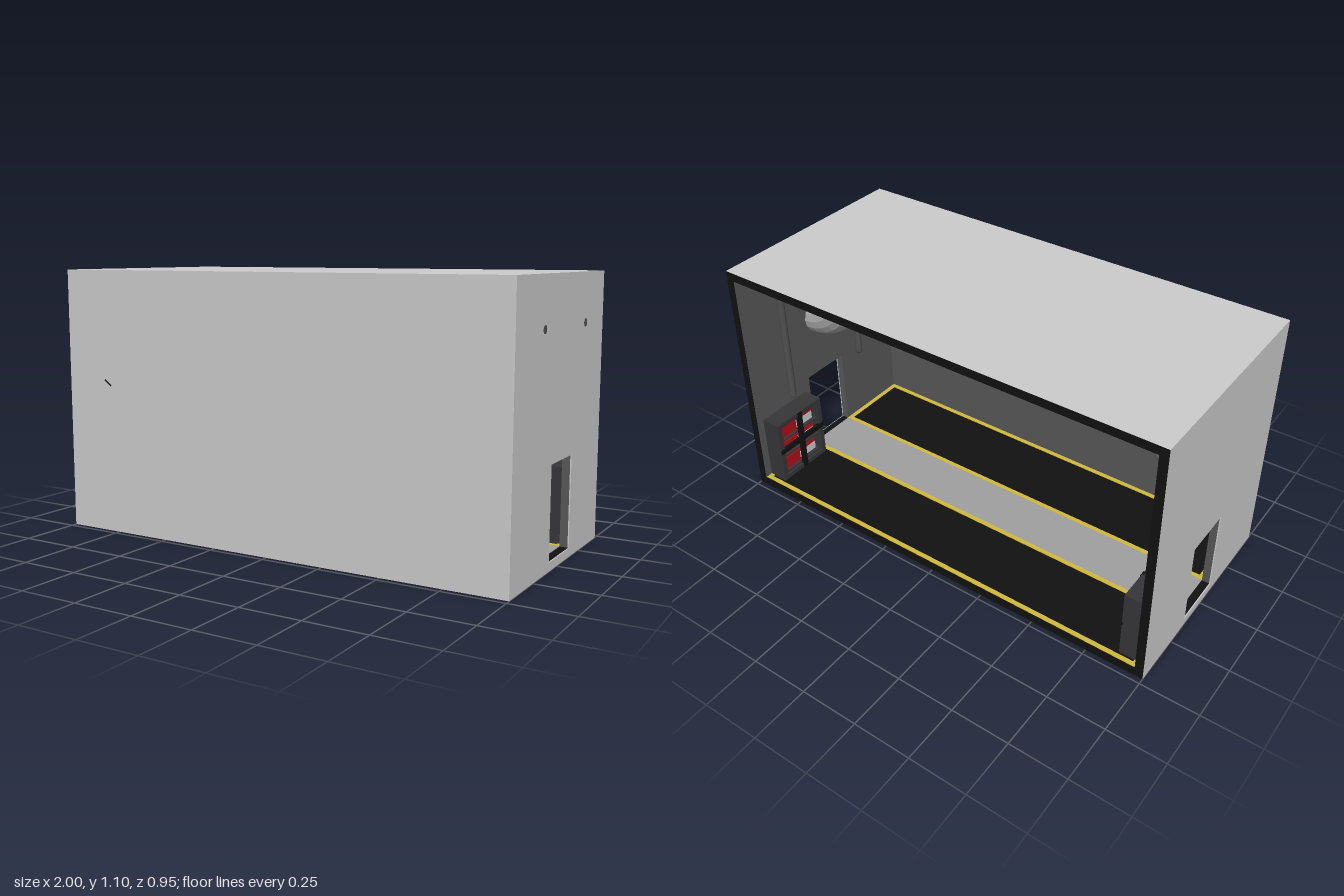
import * as THREE from 'three';

const mat = (color, extra = {}) => new THREE.MeshStandardMaterial({ color, ...extra });
const M = {
  shell: mat(0xc4c8c4), lining: mat(0x585858), black: mat(0x111111), panel: mat(0x363638),
  walkway: mat(0xa0a0a0), yellow: mat(0xd2b83c), pipe: mat(0x505050),
  duct: mat(0xa8a8a8, { flatShading: true }), red: mat(0xb01018), white: mat(0xdddddd),
  wood: mat(0x6b3d1c), tool: mat(0x4a4a4a),
};

const W = 1, H = 1.1, D = 0.475;    // half width, height, half depth
const S = 0.005, T = 0.037;         // outer skin and full wall thickness
const DOOR = [-0.14, 0.085, 0.035, 0.405];

function add(parent, name, geometry, material) {
  const mesh = new THREE.Mesh(geometry, material);
  mesh.name = name;
  parent.add(mesh);
  return mesh;
}

// Box given by its limits on each axis
function box(parent, name, material, x0, x1, y0, y1, z0, z1) {
  const g = new THREE.BoxGeometry(Math.abs(x1 - x0), y1 - y0, z1 - z0);
  g.translate((x0 + x1) / 2, (y0 + y1) / 2, (z0 + z1) / 2);
  return add(parent, name, g, material);
}

// Rectangle with rectangular holes, each given as [u0, u1, v0, v1]
function plate(outer, holes) {
  const trace = (p, [a, b, c, d]) => p.moveTo(a, c).lineTo(b, c).lineTo(b, d).lineTo(a, d).closePath();
  const shape = trace(new THREE.Shape(), outer);
  shape.holes = holes.map((h) => trace(new THREE.Path(), h));
  return shape;
}
const extrude = (shape, depth) => new THREE.ExtrudeGeometry(shape, { depth, bevelEnabled: false });

function tube(parent, name, material, curve, radius, sides, steps) {
  return add(parent, name, new THREE.TubeGeometry(curve, steps, radius, sides), material);
}

function buildShell(root) {
  const g = new THREE.Group();
  g.name = 'shell';
  root.add(g);
  box(g, 'roof', M.shell, -W, W, H - S, H, -D, D);
  box(g, 'underside', M.shell, -W, W, 0, S, -D, D);
  box(g, 'frontWall', M.shell, -W, W, 0, H, D - S, D);
  box(g, 'ceiling', M.lining, -W + S, W - S, H - T, H - S, -D, D - S);
  box(g, 'floor', M.black, -W + S, W - S, S, T, -D, D - S);
  box(g, 'frontLining', M.lining, -W + S, W - S, S, H - S, D - T, D - S);

  // End walls with doorways
  for (const s of [-1, 1]) {
    const skin = extrude(plate([-D, D, 0, H], [DOOR]), S);
    const lining = extrude(plate([-D, D - S, S, H - S], [DOOR]), T - S);
    for (const geo of [skin, lining]) geo.rotateY(-Math.PI / 2);
    skin.translate(s > 0 ? W : -W + S, 0, 0);
    lining.translate(s > 0 ? W - S : -W + T, 0, 0);
    add(g, 'endWall', skin, M.shell);
    add(g, 'endLining', lining, M.lining);
  }

  // Dark cut edge round the open back
  const rim = new THREE.ShapeGeometry(plate([-W, W, 0, H], [[-W + T, W - T, T, H - T]]));
  rim.rotateY(Math.PI).translate(0, 0, -D - 0.0008);
  add(g, 'openingRim', rim, M.black);
}

function buildFloorMarkings(root) {
  const g = new THREE.Group();
  g.name = 'floorMarkings';
  root.add(g);
  const X = W - T, y = T + 0.002, line = 0.02;
  box(g, 'walkway', M.walkway, -X, X, T - 0.002, y, DOOR[0], DOOR[1]);
  for (const [z0, z1] of [[-D + 0.004, DOOR[0]], [DOOR[1], D - T]]) {
    const border = extrude(plate([-X, X, -z1, -z0],
      [[-X + line, X - line, -z1 + line, -z0 - line]]), 0.003);
    border.rotateX(-Math.PI / 2).translate(0, T, 0);
    add(g, 'yellowBorder', border, M.yellow);
  }
}

function buildWallRack(root) {
  const g = new THREE.Group();
  g.name = 'wallRack';
  root.add(g);
  const X = W - T, zf = 0.4, zb = D - T, y0 = 0.5, y1 = 1.025, half = 0.11;
  const centres = [-3, -2, -1, 0, 1, 2, 3].map((k) => k * 0.256);
  const front = extrude(plate([-X, X, 0.43, H - T],
    centres.map((c) => [c - half, c + half, y0, y1])), zb - zf);
  front.translate(0, 0, zf);
  add(g, 'rackPanel', front, M.panel);

  centres.forEach((c, i) => {
    box(g, 'nicheBack', M.black, c - half, c + half, y0, y1, zb - 0.003, zb + 0.001);
    // Bars across the niche
    box(g, 'centreBar', M.black, c - 0.014, c + 0.014, y0, y1, zf - 0.004, zf + 0.01);
    for (const y of [y0 + 0.06, y1 - 0.06])
      box(g, 'crossBar', M.black, c - half, c + half, y - 0.014, y + 0.014, zf - 0.002, zf + 0.01);
    // Stored tools
    for (const s of [-1, 1]) {
      const x = c + s * 0.055;
      box(g, 'toolShaft', M.tool, x - 0.008, x + 0.008, 0.6, 0.93, 0.418, 0.432);
      box(g, 'toolHandle', i % 3 ? M.tool : M.wood, x - 0.016, x + 0.016, 0.53, 0.66, 0.416, 0.434);
    }
  });

  // Small strap end showing through the front wall
  const strap = box(g, 'strapEnd', M.black, -0.02, 0.02, -0.003, 0.003, 0.43, D + 0.002);
  strap.position.set(-0.79, 0.633, 0);
  strap.rotation.z = -0.62;
}

function buildEndFittings(root, s) {
  const g = new THREE.Group();
  g.name = s > 0 ? 'leftEndFittings' : 'rightEndFittings';
  root.add(g);
  const v = (x, y, z) => new THREE.Vector3(s * x, y, z);

  // Air duct bending from the ceiling into the end wall
  const zc = -0.03, duct = new THREE.CurvePath();
  duct.add(new THREE.LineCurve3(v(0.78, 1.07, zc), v(0.78, 0.89, zc)));
  duct.add(new THREE.CubicBezierCurve3(v(0.78, 0.89, zc), v(0.78, 0.785, zc), v(0.865, 0.7, zc), v(0.97, 0.7, zc)));
  tube(g, 'airDuct', M.duct, duct, 0.088, 16, 12);

  // Upright pipes with rounded ends
  for (const z of [0.195, -0.255]) {
    const pipe = add(g, 'wallPipe', new THREE.CapsuleGeometry(0.016, 0.515, 6, 12), M.pipe);
    pipe.position.set(s * 0.953, 0.64, z);
    if (s > 0) {
      const stub = new THREE.CylinderGeometry(0.016, 0.016, 0.05, 16).rotateZ(Math.PI / 2);
      add(g, 'pipeStub', stub, M.pipe).position.set(0.9765, 0.905, z);
    }
  }

  // Supply cabinet with an open, barred face
  const xb = s * (W - T), xf = s * 0.875, y0 = T, y1 = 0.345, z0 = -0.44, z1 = -0.17, t = 0.022;
  const frame = extrude(plate([z0, z1, y0, y1], [[z0 + t, z1 - t, y0 + t, y1 - t]]), 0.088);
  frame.rotateY(-Math.PI / 2).translate(s > 0 ? W - T : -0.875, 0, 0);
  add(g, 'cabinetFrame', frame, M.panel);
  box(g, 'cabinetBack', M.panel, xb, xb - s * 0.012, y0 + t, y1 - t, z0 + t, z1 - t);
  const zm = (z0 + z1) / 2, rows = 3, step = (y1 - y0 - 2 * t) / rows;
  box(g, 'cabinetPost', M.black, xf - s * 0.003, xf + s * 0.01, y0, y1, zm - 0.013, zm + 0.013);
  box(g, 'cabinetCrossBar', M.black, xf - s * 0.003, xf + s * 0.01, 0.185, 0.21, z0, z1);
  for (let r = 0; r < rows; r++) {
    const y = y0 + t + r * step;
    box(g, 'cabinetShelf', M.panel, xb, xf + s * 0.012, y, y + 0.008, z0 + t, z1 - t);
    box(g, 'redCase', M.red, xb - s * 0.01, xf + s * 0.025, y + 0.008, y + step * 0.8, z0 + 0.03, zm - 0.005);
    box(g, 'whiteCase', M.white, xb - s * 0.01, xf + s * 0.03, y + 0.008, y + step * 0.55, zm + 0.005, z1 - 0.035);
    box(g, 'caseLid', M.red, xb - s * 0.01, xf + s * 0.03, y + step * 0.55, y + step * 0.75, zm + 0.005, z1 - 0.035);
  }
}

export function createModel() {
  const root = new THREE.Group();
  root.name = 'equipmentRoom';
  buildShell(root);
  buildFloorMarkings(root);
  buildWallRack(root);
  for (const s of [-1, 1]) buildEndFittings(root, s);
  return root;
}
